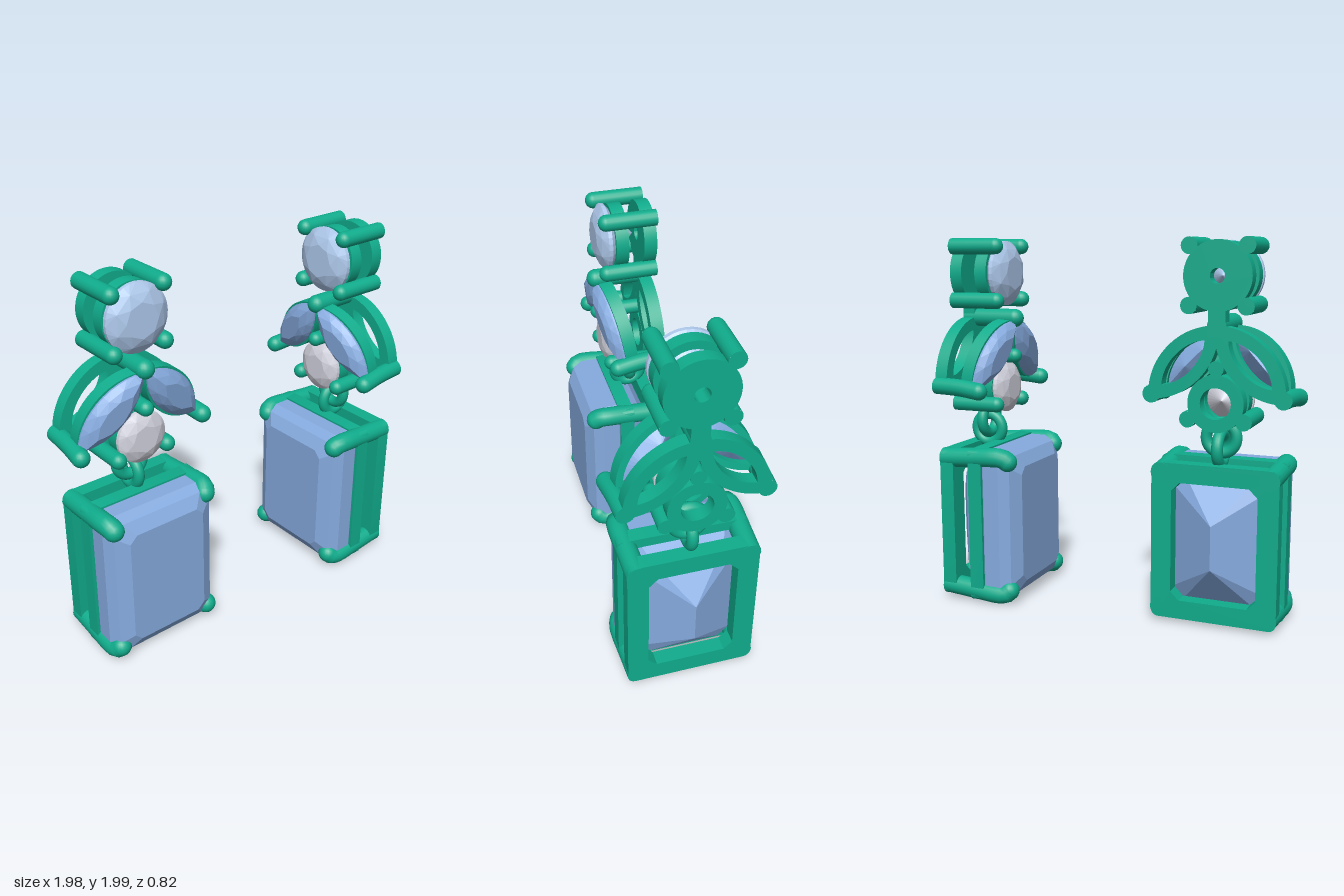
import * as THREE from 'three';
import { toCreasedNormals } from 'three/addons/utils/BufferGeometryUtils.js';
import { ConvexGeometry } from 'three/addons/geometries/ConvexGeometry.js';

const V = (x, y, z) => new THREE.Vector3(x, y, z);
const paint = (color, flatShading = false) => new THREE.MeshStandardMaterial({ color, flatShading });
const metal = paint(0x10ac8c);
const paleBlue = paint(0xb0cbee, true);
const blue = paint(0x86abdf, true);
const white = paint(0xd4d4e0, true);
const BACK = -0.2;

function add(parent, name, geometry, material, x = 0, y = 0, z = 0) {
  const mesh = new THREE.Mesh(geometry, material);
  mesh.name = name;
  mesh.position.set(x, y, z);
  parent.add(mesh);
  return mesh;
}

// ---- outlines ----
const disc = r => new THREE.Shape().absarc(0, 0, r, 0, Math.PI * 2);
function leaf(a, b) {
  const s = new THREE.Shape();
  s.moveTo(-a, 0);
  s.bezierCurveTo(-a * 0.5, -b * 1.33, a * 0.5, -b * 1.33, a, 0);
  s.bezierCurveTo(a * 0.5, b * 1.33, -a * 0.5, b * 1.33, -a, 0);
  return s;
}
// corner points of a rectangle with cut corners
function cutRect(w, h, c) {
  return [[w, h - c], [w - c, h], [c - w, h], [-w, h - c], [-w, c - h], [c - w, -h], [w - c, -h], [w, c - h]];
}
const cutShape = (w, h, c) => new THREE.Shape(cutRect(w, h, c).map(p => new THREE.Vector2(...p)));
function roundRect(w, h, r) {
  const s = new THREE.Shape();
  s.absarc(w - r, h - r, r, 0, Math.PI / 2);
  s.absarc(r - w, h - r, r, Math.PI / 2, Math.PI);
  s.absarc(r - w, r - h, r, Math.PI, Math.PI * 1.5);
  s.absarc(w - r, r - h, r, Math.PI * 1.5, Math.PI * 2);
  return s;
}

// flat ring: outline with a hole, extruded forward
function ring(outline, hole, depth) {
  outline.holes.push(hole);
  const g = new THREE.ExtrudeGeometry(outline, { depth, bevelEnabled: false, curveSegments: 24 });
  return toCreasedNormals(g, 0.6);
}

// claw: tube running from the back plane to a rounded front end
function claw(parent, name, points, r) {
  const g = new THREE.Group();
  g.name = name;
  const curve = new THREE.CatmullRomCurve3(points);
  add(g, 'clawShaft', new THREE.TubeGeometry(curve, 16, r, 18), metal);
  const tip = points[points.length - 1];
  add(g, 'clawTip', new THREE.SphereGeometry(r, 18, 12), metal, tip.x, tip.y, tip.z);
  const p = points[0];
  add(g, 'clawEnd', new THREE.CircleGeometry(r, 18), metal, p.x, p.y, p.z).rotation.y = Math.PI;
  parent.add(g);
}

// ---- faceted stones, as hulls of facet corners ----
function roundStone(r, crown, depth) {
  const pts = [V(0, 0, -depth)];
  const loop = (n, rad, z, turn = 0) => {
    for (let i = 0; i < n; i++) {
      const a = ((i + turn) / n) * Math.PI * 2;
      pts.push(V(rad * Math.cos(a), rad * Math.sin(a), z));
    }
  };
  loop(8, r * 0.52, crown);
  loop(8, r * 0.8, crown * 0.7, 0.5);
  loop(32, r, 0.012);
  loop(32, r, -0.008);
  return new ConvexGeometry(pts);
}
function leafStone(a, b, crown, depth) {
  const pts = [V(-a * 0.25, 0, -depth), V(a * 0.25, 0, -depth)];
  const loop = (k, z, n) => leaf(a * k, b * k).getPoints(n).forEach(p => pts.push(V(p.x, p.y, z)));
  loop(0.55, crown, 4);
  loop(0.82, crown * 0.65, 5);
  loop(1, 0.01, 12);
  loop(1, -0.01, 12);
  return new ConvexGeometry(pts);
}
function stepStone() {
  const pts = [V(0, 0.115, -0.25), V(0, -0.115, -0.25)];
  const steps = [[0.245, 0.225, 0.325, 0.04], [0.205, 0.295, 0.39, 0.06], [0.15, 0.325, 0.418, 0.075],
    [0.06, 0.325, 0.418, 0.075], [-0.09, 0.245, 0.335, 0.06]];
  for (const [z, w, h, c] of steps) cutRect(w, h, c).forEach(p => pts.push(V(p[0], p[1], z)));
  return new ConvexGeometry(pts);
}

function earring() {
  const e = new THREE.Group();
  e.name = 'earring';
  const sides = [-1, 1];

  // top round setting
  const topY = 1.81;
  add(e, 'topStone', roundStone(0.175, 0.06, 0.155), paleBlue, 0, topY, 0.047);
  add(e, 'topRim', ring(disc(0.172), disc(0.13), 0.07), metal, 0, topY, -0.05);
  add(e, 'topBackPlate', ring(disc(0.175), disc(0.038), 0.07), metal, 0, topY, BACK);
  for (const sx of sides) for (const sy of sides) {
    const x = sx * 0.146, y = topY + sy * 0.146;
    claw(e, 'topClaw', [V(x, y, BACK), V(x, y, 0.068)], 0.043);
  }
  add(e, 'neckBar', new THREE.BoxGeometry(0.09, 0.16, 0.07), metal, 0, 1.59, BACK + 0.035);

  // pair of leaf-shaped settings, tilted back toward their outer ends
  for (const s of sides) {
    const angle = s > 0 ? -0.8 : Math.PI + 0.8;
    const head = new THREE.Group();
    head.name = 'leafSetting';
    head.position.set(s * 0.175, 1.38, 0.025);
    head.rotation.set(0, 0.16, angle, 'ZYX');
    add(head, 'leafStone', leafStone(0.245, 0.1, 0.06, 0.1), blue, 0, 0, 0.035);
    add(head, 'leafRim', ring(leaf(0.25, 0.112), leaf(0.2, 0.075), 0.07), metal, 0, 0, -0.035);
    e.add(head);
    const plate = ring(leaf(0.26, 0.115), leaf(0.16, 0.055), 0.07);
    add(e, 'leafBackPlate', plate, metal, s * 0.172, 1.38, BACK).rotation.z = angle;
    claw(e, 'leafOuterClaw', [V(s * 0.34, 1.215, BACK), V(s * 0.35, 1.21, -0.05), V(s * 0.362, 1.197, 0.07)], 0.046);
  }
  claw(e, 'leafTopClaw', [V(0, 1.565, BACK), V(0, 1.565, 0.1)], 0.05);

  // small round setting below the leaves
  const lowY = 1.18;
  add(e, 'lowerStone', roundStone(0.14, 0.05, 0.13), white, 0, lowY, 0.04);
  add(e, 'lowerRim', ring(disc(0.135), disc(0.1), 0.07), metal, 0, lowY, -0.05);
  add(e, 'lowerBackPlate', ring(disc(0.145), disc(0.08), 0.07), metal, 0, lowY, BACK);
  for (const s of sides) claw(e, 'lowerClaw', [V(s * 0.146, 1.095, BACK), V(s * 0.146, 1.095, 0.055)], 0.042);
  claw(e, 'lowerTopClaw', [V(0, 1.355, BACK), V(0, 1.355, 0.095)], 0.04);

  // two interlocked links
  const link = new THREE.TorusGeometry(0.08, 0.03, 14, 40);
  add(e, 'upperLink', link, metal, 0, 0.99, -0.075);
  add(e, 'lowerLink', link, metal, 0, 0.935, -0.075).rotation.y = Math.PI / 2;

  // large rectangular drop
  const dropY = 0.447;
  add(e, 'dropStone', stepStone(), blue, 0, dropY, 0);
  add(e, 'dropRim', ring(roundRect(0.34, 0.425, 0.03), cutShape(0.285, 0.37, 0.05), 0.08), metal, 0, dropY, -0.025);
  add(e, 'dropBackFrame', ring(roundRect(0.335, 0.415, 0.04), cutShape(0.227, 0.315, 0.045), 0.08), metal, 0, dropY, BACK);
  for (const sx of sides) for (const sy of sides) {
    const at = (x, y, z) => V(sx * x, dropY + sy * y, z);
    claw(e, 'dropClaw', [at(0.285, 0.362, BACK), at(0.292, 0.375, 0), at(0.296, 0.383, 0.12),
      at(0.291, 0.38, 0.165), at(0.28, 0.362, 0.187)], 0.054);
  }
  return e;
}

export function createModel() {
  const pair = new THREE.Group();
  pair.name = 'earringPair';
  const first = earring();
  first.position.x = -0.585;
  const second = earring();
  second.position.x = 0.735;
  second.rotation.y = -Math.PI / 2;
  pair.add(first, second);
  return pair;
}
